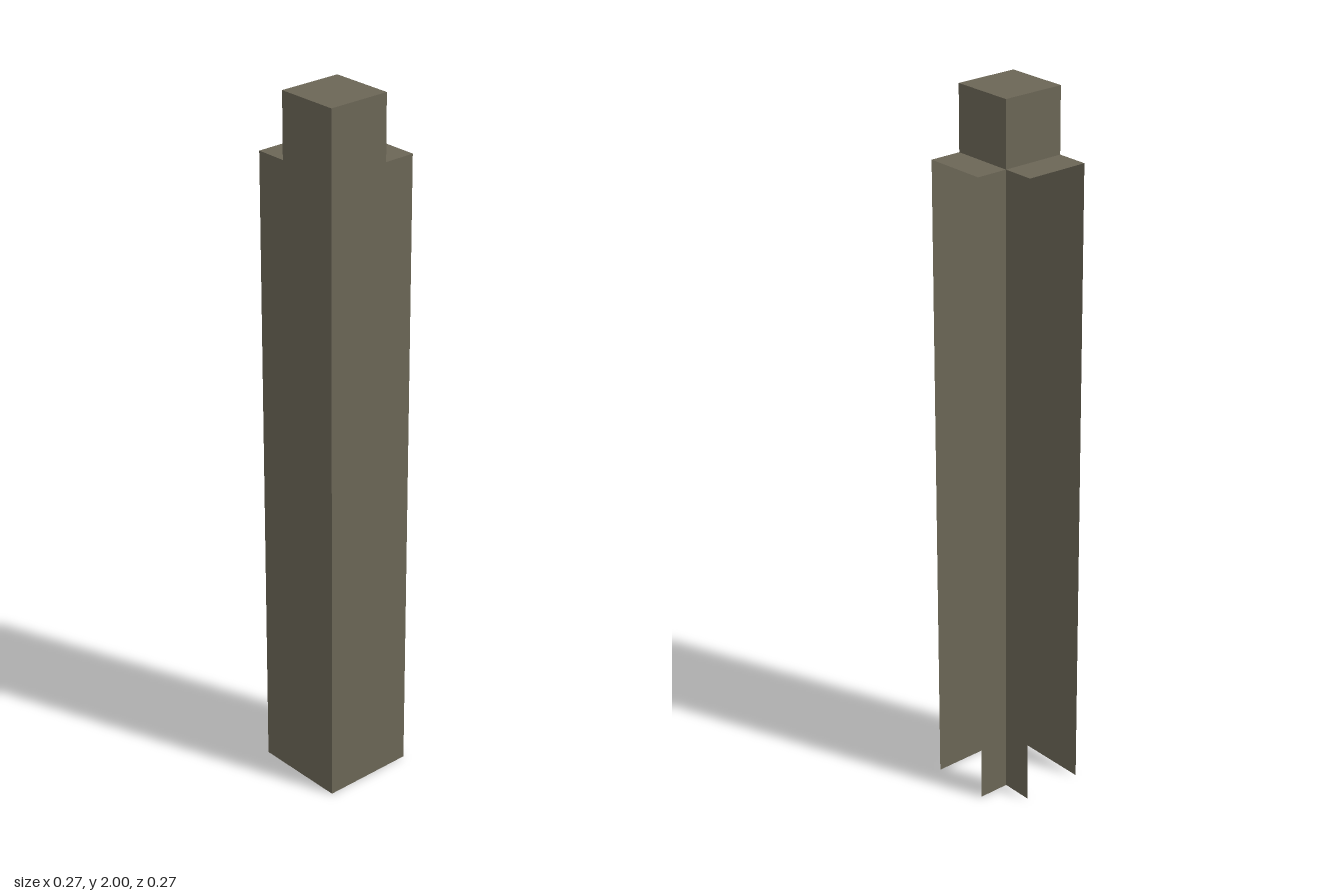
import * as THREE from 'three';

const U = 1 / 11;          // one module of the plan
const LOW = 20 * U;        // height of the shelf
const HIGH = 22 * U;       // height of the raised block

export function createModel() {
  const model = new THREE.Group();
  model.name = 'notchedPillar';
  const olive = new THREE.MeshStandardMaterial({ color: 0x6b6656, side: THREE.DoubleSide });
  olive.name = 'olive grey';

  // Flat sheet cut from an outline given in the sheet's own plane
  const sheet = (name, points, position, rotation) => {
    const shape = new THREE.Shape(points.map(([x, y]) => new THREE.Vector2(x, y)));
    const mesh = new THREE.Mesh(new THREE.ShapeGeometry(shape), olive);
    mesh.name = name;
    mesh.position.set(...position);
    mesh.rotation.set(...rotation);
    model.add(mesh);
  };
  const rect = (x0, x1, y0, y1) => [[x0, y0], [x1, y0], [x1, y1], [x0, y1]];

  const H = 1.5 * U, S = 0.5 * U;
  const FRONT = [0, 0, 0], BACK = [0, Math.PI, 0];
  const RIGHT = [0, Math.PI / 2, 0], LEFT = [0, -Math.PI / 2, 0];
  const UP = [-Math.PI / 2, 0, 0];

  // Two full-height outer walls, stepped at the top
  const stepped = [[-H, 0], [H, 0], [H, LOW], [S, LOW], [S, HIGH], [-H, HIGH]];
  sheet('frontWall', stepped, [0, 0, H], FRONT);
  sheet('sideWall', stepped.map(([x, y]) => [-x, y]), [-H, 0, 0], LEFT);

  // Narrow walls of the rear corner notch
  sheet('notchSideWall', rect(S, H, 0, LOW), [S, 0, 0], RIGHT);
  sheet('notchBackWall', rect(-H, -S, 0, LOW), [0, 0, -S], BACK);

  // L-shaped shelf, running under the raised block
  sheet('shelf', [[-H, -H], [H, -H], [H, S], [S, S], [S, H], [-H, H]], [0, LOW, 0], UP);

  // Raised block above the shelf
  sheet('blockSide', rect(-H, S, LOW, HIGH), [S, 0, 0], RIGHT);
  sheet('blockBack', rect(-S, H, LOW, HIGH), [0, 0, -S], BACK);
  sheet('blockTop', rect(-H, S, -H, S), [0, HIGH, 0], UP);

  return model;
}
